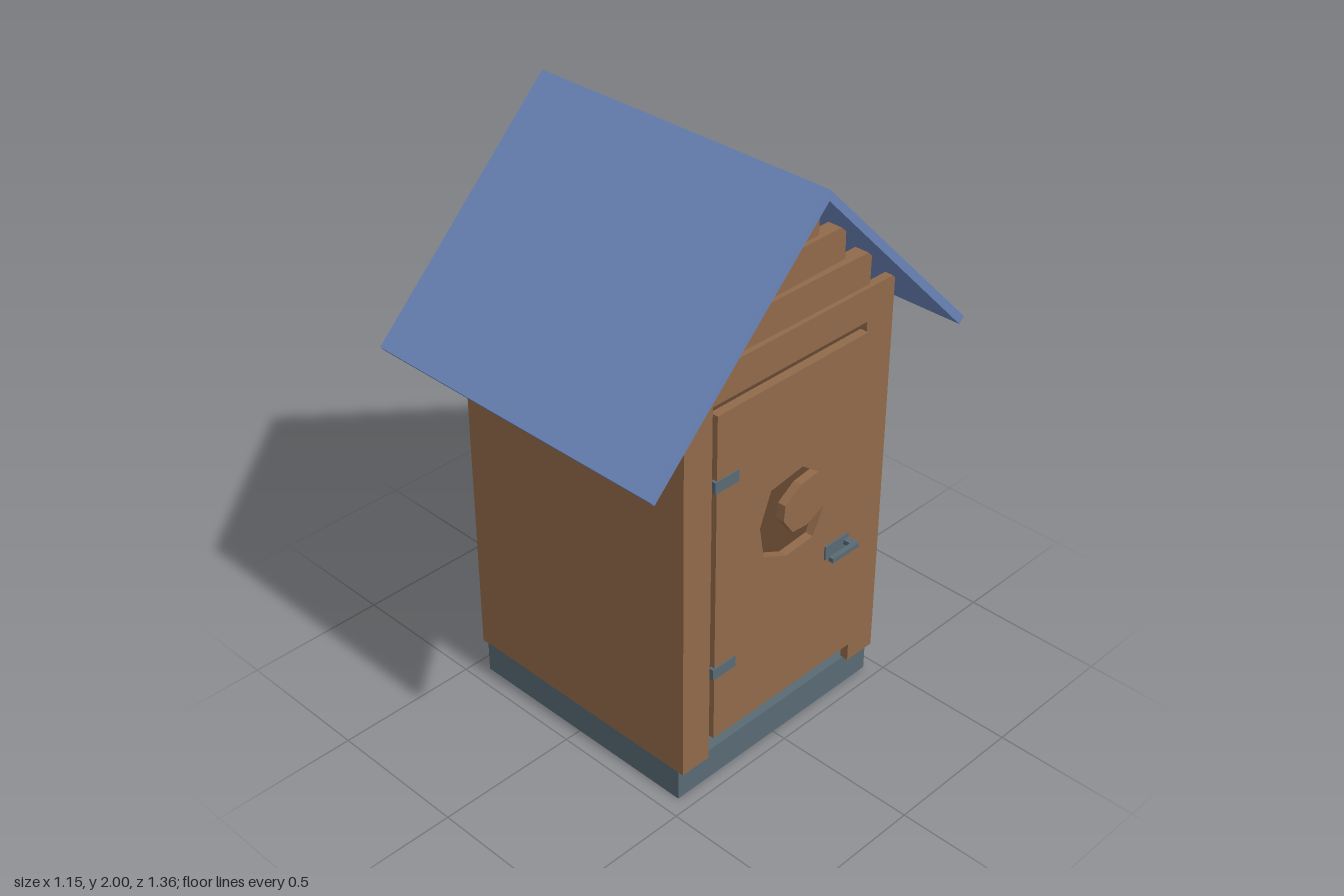
import * as THREE from 'three';

export function createModel() {
  const model = new THREE.Group();
  model.name = 'shed';

  const paint = (name, color) => {
    const m = new THREE.MeshStandardMaterial({ color });
    m.name = name;
    return m;
  };
  const wood = paint('brown wood', 0x916a4b);
  const roofBlue = paint('blue roofing', 0x6a85b9);
  const slate = paint('slate grey', 0x586a74);
  const cork = paint('tan board', 0xc49c5f);

  const add = (name, geometry, material) => {
    const mesh = new THREE.Mesh(geometry, material);
    mesh.name = name;
    model.add(mesh);
    return mesh;
  };

  // Box given by its two extreme corners
  const box = (name, material, x0, x1, y0, y1, z0, z1) => {
    const g = new THREE.BoxGeometry(x1 - x0, y1 - y0, z1 - z0);
    const mesh = add(name, g, material);
    mesh.position.set((x0 + x1) / 2, (y0 + y1) / 2, (z0 + z1) / 2);
    return mesh;
  };

  // Outline of [z, y] points extruded along x
  const toVectors = (points) => points.map(([z, y]) => new THREE.Vector2(-z, y));
  const slab = (name, material, points, x0, x1, hole) => {
    const shape = new THREE.Shape(toVectors(points));
    if (hole) shape.holes.push(new THREE.Path(toVectors(hole)));
    const g = new THREE.ExtrudeGeometry(shape, { depth: x1 - x0, bevelEnabled: false });
    g.rotateY(Math.PI / 2);
    g.translate(x0, 0, 0);
    return add(name, g, material);
  };

  // Foundation
  box('foundation', slate, -0.445, 0.45, 0, 0.112, -0.455, 0.44);

  // Hollow walls, with a doorway on the +x side
  box('frontWall', wood, -0.44, 0.44, 0.11, 1.46, 0.405, 0.44);
  box('backWall', wood, -0.44, 0.44, 0.11, 1.46, -0.46, -0.425);
  box('rightWall', wood, -0.47, -0.44, 0.11, 1.525, -0.46, 0.44);
  slab('doorwayWall', wood, [
    [0.44, 0.11], [0.325, 0.11], [0.325, 1.41], [-0.34, 1.41],
    [-0.34, 0.11], [-0.46, 0.11], [-0.46, 1.525], [0.44, 1.525],
  ], 0.44, 0.47);

  // Door with a crescent cut through it
  slab('door', wood, [[0.315, 0.19], [-0.335, 0.19], [-0.335, 1.38], [0.315, 1.38]], 0.45, 0.48, [
    [0.08, 1.01], [-0.06, 1.03], [-0.135, 0.975], [-0.055, 0.965], [0.013, 0.92],
    [0.018, 0.865], [-0.025, 0.805], [-0.09, 0.8], [-0.167, 0.835], [-0.12, 0.74],
    [0, 0.73], [0.105, 0.78], [0.125, 0.895],
  ]);

  // Hinges and handle
  for (const y of [0.45, 1.14]) box('hinge', slate, 0.465, 0.484, y - 0.02, y + 0.02, 0.225, 0.325);
  box('handlePlate', slate, 0.478, 0.486, 0.617, 0.668, -0.29, -0.18);
  box('handleStem', slate, 0.484, 0.53, 0.637, 0.653, -0.29, -0.265);
  box('handleBar', slate, 0.512, 0.53, 0.637, 0.653, -0.29, -0.165);

  // Gable planks on both ends: bottom, top, half width, small tilt
  const planks = [
    [1.54, 1.65, 0.335, -0.006],
    [1.665, 1.775, 0.212, 0.015],
    [1.79, 1.9, 0.092, 0],
  ];
  for (const side of [-1, 1]) {
    for (const [y0, y1, half, tilt] of planks) {
      const x = side * 0.445;
      const plank = box('gablePlank', wood, x - 0.025, x + 0.025, y0, y1, -0.008 - half, -0.008 + half);
      plank.rotation.x = tilt;
    }
  }

  // Pitched roof
  slab('roof', roofBlue, [
    [-0.013, 2], [0.677, 1.316], [0.66, 1.296], [-0.013, 1.965], [-0.66, 1.312], [-0.68, 1.332],
  ].reverse(), -0.575, 0.575);

  // Framed board on the back wall
  const [bx0, bx1, by0, by1, edge] = [-0.345, 0.37, 0.69, 1.165, 0.024];
  box('boardPanel', cork, bx0 + edge, bx1 - edge, by0 + edge, by1 - edge, -0.477, -0.46);
  for (const y of [by0, by1 - edge]) box('boardRail', wood, bx0, bx1, y, y + edge, -0.495, -0.46);
  for (const x of [bx0, bx1 - edge]) box('boardStile', wood, x, x + edge, by0 + edge, by1 - edge, -0.495, -0.46);

  return model;
}
